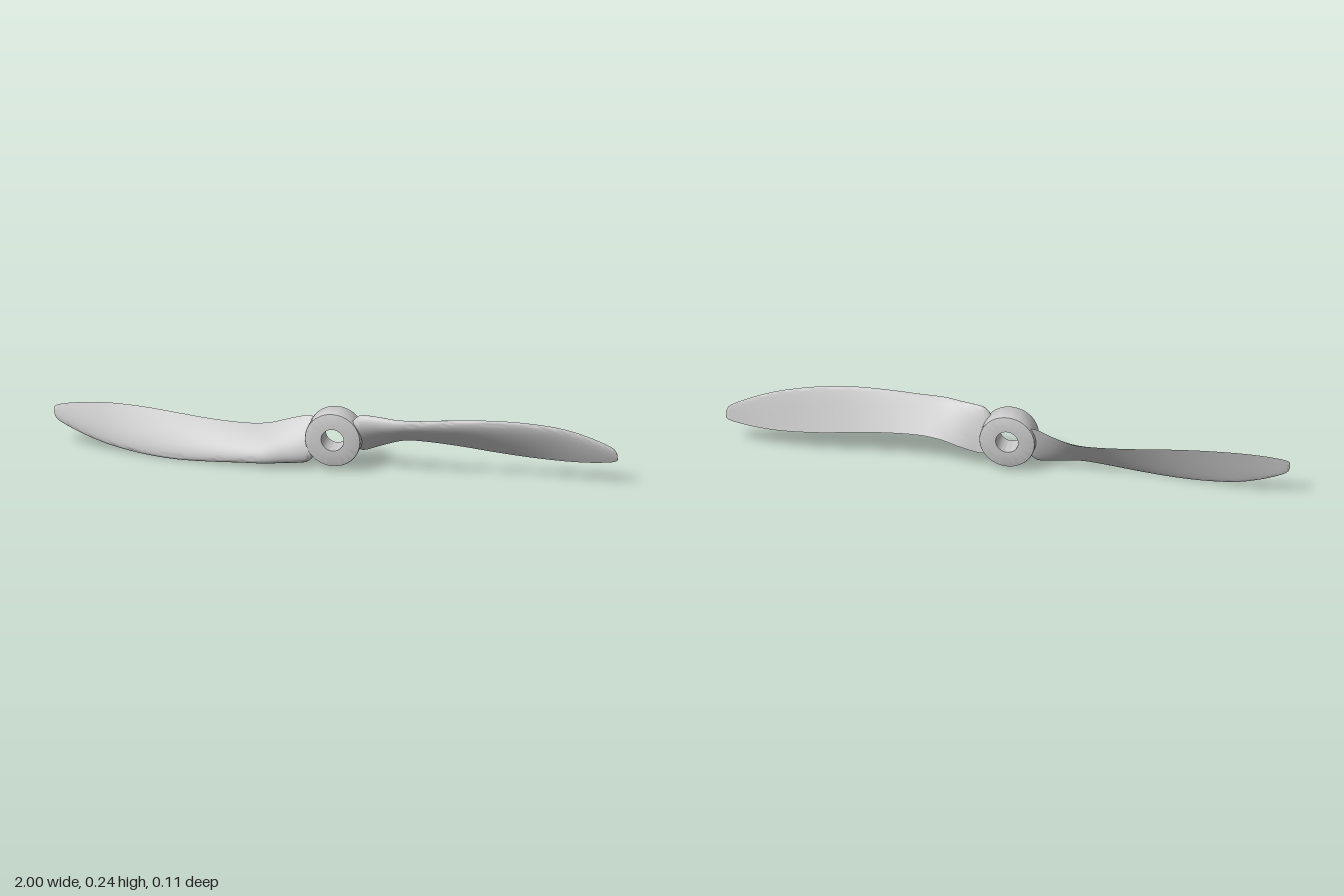
import * as THREE from 'three';
import { toCreasedNormals } from 'three/addons/utils/BufferGeometryUtils.js';

const HUB_Y = 0.1185;
const material = new THREE.MeshStandardMaterial({ color: 0xcccccc });

// Blade stations: x, leading edge y z, trailing edge y z, thickness
const STATIONS = [
  [0.062, 0.178, 0.005, 0.085, -0.030, 0.026],
  [0.080, 0.203, 0.010, 0.065, -0.042, 0.034],
  [0.105, 0.216, 0.014, 0.062, -0.046, 0.038],
  [0.170, 0.218, 0.028, 0.083, -0.055, 0.038],
  [0.240, 0.219, 0.045, 0.104, -0.054, 0.034],
  [0.320, 0.223, 0.043, 0.109, -0.047, 0.030],
  [0.440, 0.232, 0.035, 0.103, -0.044, 0.026],
  [0.560, 0.237, 0.025, 0.091, -0.045, 0.022],
  [0.680, 0.232, 0.010, 0.080, -0.049, 0.019],
  [0.800, 0.215, -0.008, 0.075, -0.050, 0.015],
  [0.890, 0.189, -0.019, 0.078, -0.046, 0.012],
  [0.960, 0.160, -0.027, 0.086, -0.041, 0.009],
  [0.990, 0.142, -0.030, 0.093, -0.038, 0.006],
  [1.000, 0.122, -0.032, 0.100, -0.036, 0.003],
];

// Aerofoil half-thickness, peak 1 near 30% of the chord
const foil = (s) =>
  2.969 * Math.sqrt(s) - 1.26 * s - 3.516 * s ** 2 + 2.843 * s ** 3 - 1.036 * s ** 4;

const edgeCurve = (fn) =>
  new THREE.CatmullRomCurve3(STATIONS.map(fn), false, 'catmullrom', 0.5);

function bladeGeometry() {
  const lead = edgeCurve(([x, y, z]) => new THREE.Vector3(x, y - HUB_Y, z));
  const trail = edgeCurve(([x, , , y, z]) => new THREE.Vector3(x, y - HUB_Y, z));
  const thick = edgeCurve(([x, , , , , t]) => new THREE.Vector3(x, t, 0));
  const rows = 78, half = 16, ring = half * 2;
  const pos = [], index = [];

  // Cross-sections: cambered front face, nearly flat back face
  for (let j = 0; j <= rows; j++) {
    const u = j / rows;
    const a = lead.getPoint(u), b = trail.getPoint(u), t = thick.getPoint(u).y;
    const dy = b.y - a.y, dz = b.z - a.z, len = Math.hypot(dy, dz);
    for (let k = 0; k < ring; k++) {
      const s = (1 - Math.cos((k / half) * Math.PI)) / 2;
      const off = t * foil(Math.min(s, 1)) * (k <= half ? 0.8 : -0.2);
      pos.push(a.x, a.y + dy * s + (dz / len) * off, a.z + dz * s - (dy / len) * off);
    }
  }
  // Skin between sections
  for (let j = 0; j < rows; j++) {
    for (let k = 0; k < ring; k++) {
      const k2 = (k + 1) % ring;
      const p = j * ring + k, q = j * ring + k2;
      index.push(p, q, q + ring, p, q + ring, p + ring);
    }
  }
  // Root and tip caps
  for (let k = 1; k < ring - 1; k++) {
    const e = rows * ring;
    index.push(0, k + 1, k, e, e + k, e + k + 1);
  }
  const geo = new THREE.BufferGeometry();
  geo.setAttribute('position', new THREE.Float32BufferAttribute(pos, 3));
  geo.setIndex(index);
  return toCreasedNormals(geo, 0.9);
}

// Bored hub with softly rounded rims
function hubGeometry() {
  const R = 0.0985, r = 0.04, z0 = -0.053, z1 = 0.03, c = 0.005;
  const profile = [
    [r, z0], [R - c, z0], [R - c * 0.3, z0 + c * 0.3], [R, z0 + c],
    [R, z1 - c], [R - c * 0.3, z1 - c * 0.3], [R - c, z1], [r, z1], [r, z0],
  ].map(([x, y]) => new THREE.Vector2(x, y));
  const geo = new THREE.LatheGeometry(profile, 64);
  geo.rotateX(Math.PI / 2);
  return toCreasedNormals(geo, 0.6);
}

export function createModel() {
  const group = new THREE.Group();
  group.name = 'propeller';

  const hub = new THREE.Mesh(hubGeometry(), material);
  hub.name = 'hub';
  hub.position.y = HUB_Y;
  group.add(hub);

  // Two identical blades, half a turn apart
  const geo = bladeGeometry();
  ['leftBlade', 'rightBlade'].forEach((name, i) => {
    const blade = new THREE.Mesh(geo, material);
    blade.name = name;
    blade.position.y = HUB_Y;
    blade.rotation.z = i * Math.PI;
    group.add(blade);
  });
  return group;
}
